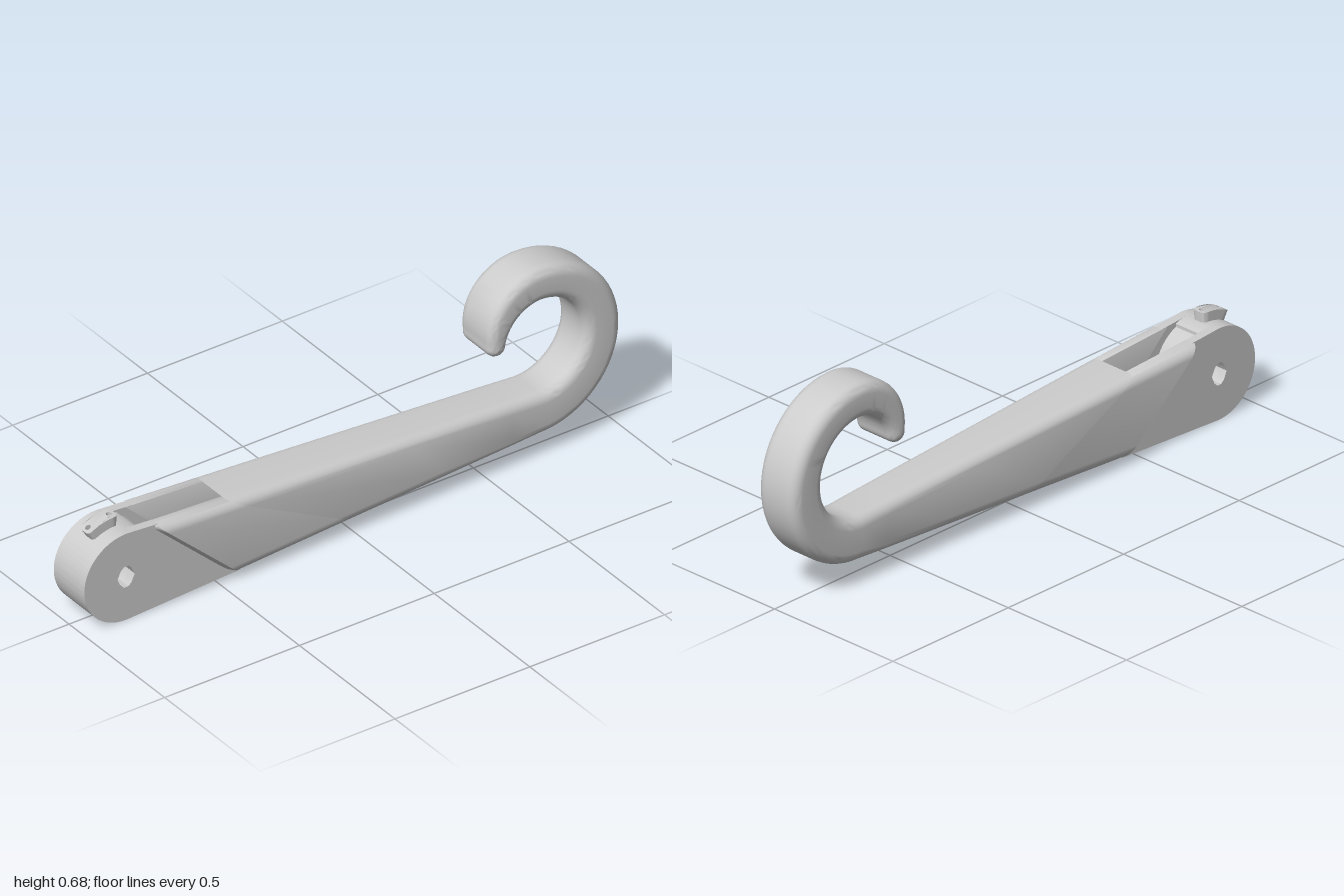
import * as THREE from 'three';
import { toCreasedNormals } from 'three/addons/utils/BufferGeometryUtils.js';

const V = (x, y) => new THREE.Vector2(x, y);
const lerp = THREE.MathUtils.lerp;
const HUB = V(-0.845, 0.155), R = 0.155, SLOT = 0.05;
const material = new THREE.MeshStandardMaterial({ color: 0xcccccc });

function add(group, name, geometry) {
  const mesh = new THREE.Mesh(toCreasedNormals(geometry, 0.6), material);
  mesh.name = name;
  group.add(mesh);
}

// Edge lines and half width of the tapering arm
const topAt = (x) => V(x, lerp(0.303, 0.23, (x + 0.75) / 1.45));
const bottomAt = (x) => V(x, lerp(0.002, 0.08, (x + 0.83) / 1.53));
const widthAt = (x) => lerp(0.106, 0.08, (x + 0.75) / 1.45);

// Rounded cross-section between an outer (lower) and inner (upper) point.
// za/zb give the z of each side at [outer, inner]; ra/rb are the corner radii.
function ring(o, i, za, zb, ra, rb, stretch = 1) {
  const h = o.distanceTo(i), pts = [];
  const corners = [[zb, 1, rb, 1], [za, -1, ra, 1], [za, -1, ra, -1], [zb, 1, rb, -1]];
  corners.forEach(([z, sz, r, su], c) => {
    for (let k = 0; k <= 6; k++) {
      const a = (c + k / 6) * Math.PI / 2;
      const ru = Math.min(r * stretch, h * 0.49);
      const u = ((su > 0 ? h - ru : ru) + ru * Math.sin(a)) / h;
      const p = o.clone().lerp(i, u);
      pts.push([p.x, p.y, lerp(z[0], z[1], u) - sz * r + r * Math.cos(a)]);
    }
  });
  return pts;
}

// Closed skin over a row of equal-length rings, with flat end caps
function loft(rings) {
  const n = rings[0].length, last = (rings.length - 1) * n, index = [];
  for (let s = 0; s < rings.length - 1; s++) {
    for (let j = 0; j < n; j++) {
      const a = s * n + j, b = s * n + (j + 1) % n;
      index.push(a, a + n, b, b, a + n, b + n);
    }
  }
  for (let j = 1; j < n - 1; j++) index.push(0, j, j + 1, last, last + j + 1, last + j);
  const g = new THREE.BufferGeometry();
  g.setAttribute('position', new THREE.Float32BufferAttribute(rings.flat(2), 3));
  g.setIndex(index);
  return g;
}

// Section of the arm, slanted from a bottom x to a top x
function armRing(xb, xt, side = 0, inset = 0) {
  const o = bottomAt(xb), i = topAt(xt);
  const w = [widthAt(xb) - inset, widthAt(xt) - inset], neg = w.map((v) => -v);
  const stretch = o.distanceTo(i) / (i.y - o.y), r = 0.035, sharp = 0.0005;
  if (side > 0) return ring(o, i, [SLOT, SLOT], w, sharp, r, stretch);
  if (side < 0) return ring(o, i, neg, [-SLOT, -SLOT], r, sharp, stretch);
  return ring(o, i, neg, w, r, r, stretch);
}

function armAndHook() {
  const rings = [armRing(0, -0.47), armRing(0.35, 0.2), armRing(0.6, 0.58)];
  const polar = (cx, cy, rx, ry, a) => V(cx + rx * Math.cos(a), cy + ry * Math.sin(a));
  const section = (o, i, w, r) => rings.push(ring(o, i, [-w, -w], [w, w], r, r));
  let o, i;
  // Wide lower sweep, then the tighter curl towards the tip
  for (let k = 0; k <= 32; k++) {
    const a = -Math.PI / 2 + Math.PI * k / 32;
    o = polar(0.7, 0.38, 0.298, 0.3, a);
    i = polar(0.7, 0.395, 0.165, 0.165, a);
    section(o, i, lerp(0.08, 0.082, k / 32), 0.037);
  }
  for (let k = 1; k <= 20; k++) {
    const t = k / 20;
    o = polar(0.7, 0.49, 0.195, 0.19, Math.PI * (0.5 + 0.545 * t));
    i = polar(0.7, 0.43, 0.13, 0.13, Math.PI * (0.5 + 0.455 * t));
    section(o, i, lerp(0.082, 0.085, t), lerp(0.037, 0.03, t));
  }
  // Rounded tip
  const mid = o.clone().lerp(i, 0.5), half = i.clone().sub(o).multiplyScalar(0.5);
  const forward = V(half.y, -half.x);
  for (let k = 1; k <= 6; k++) {
    const a = k / 6 * 1.45, c = Math.cos(a);
    const m = mid.clone().addScaledVector(forward, Math.sin(a));
    section(m.clone().addScaledVector(half, -c), m.clone().addScaledVector(half, c),
      0.085 - 0.03 * (1 - c), 0.03 * c);
  }
  return loft(rings);
}

// Keyed hole through the hub
function keyHole() {
  const p = new THREE.Path();
  p.moveTo(HUB.x + 0.032, HUB.y);
  [[0.02, 0.026], [0.008, 0.037], [-0.008, 0.037], [-0.02, 0.026], [-0.032, 0],
    [-0.02, -0.026], [-0.008, -0.037], [0.008, -0.037], [0.02, -0.026]]
    .forEach(([x, y]) => p.lineTo(HUB.x + x, HUB.y + y));
  p.closePath();
  return p;
}

function slab(shape, z0, z1) {
  shape.holes.push(keyHole());
  return new THREE.ExtrudeGeometry(shape, { depth: z1 - z0, bevelEnabled: false, curveSegments: 40 })
    .translate(0, 0, z0);
}

// Side plate: round hub end running into the arm
function plateShape() {
  const s = new THREE.Shape();
  s.absarc(HUB.x, HUB.y, R, Math.PI / 2 - 0.05, Math.PI * 1.5 + 0.05, false);
  const b = bottomAt(-0.42), t = topAt(-0.73);
  s.lineTo(b.x, b.y);
  s.lineTo(t.x, t.y);
  s.closePath();
  return s;
}

// Middle of the hub: full radius on the outside, slightly smaller inside the slot
function coreShape() {
  const s = new THREE.Shape(), a = Math.acos(0.055 / R), r = 0.145, b = Math.acos(0.055 / r);
  s.absarc(HUB.x, HUB.y, R, a, Math.PI * 2 - a, false);
  s.absarc(HUB.x, HUB.y, r, -b, b, false);
  s.closePath();
  return s;
}

// Small two-hole pad, bent round the top of the hub
function padGeometry() {
  const s = new THREE.Shape(), L = 0.058, W = 0.025, c = 0.015;
  for (let k = 0; k <= 10; k++) s.lineTo(lerp(-L + c, L - c, k / 10), -W);
  s.absarc(L - c, -W + c, c, -Math.PI / 2, 0, false);
  s.absarc(L - c, W - c, c, 0, Math.PI / 2, false);
  for (let k = 0; k <= 10; k++) s.lineTo(lerp(L - c, -L + c, k / 10), W);
  s.absarc(-L + c, W - c, c, Math.PI / 2, Math.PI, false);
  s.absarc(-L + c, -W + c, c, Math.PI, Math.PI * 1.5, false);
  for (const x of [-0.04, 0.04]) s.holes.push(new THREE.Path().absarc(x, 0, 0.009, 0, Math.PI * 2, true));
  const g = new THREE.ExtrudeGeometry(s, { depth: 0.043, bevelEnabled: false, curveSegments: 10 });
  const p = g.attributes.position;
  for (let k = 0; k < p.count; k++) {
    const a = 1.825 - p.getX(k) / 0.187, r = 0.145 + p.getZ(k);
    p.setXYZ(k, HUB.x + r * Math.cos(a), HUB.y + r * Math.sin(a), -p.getY(k));
  }
  return g;
}

export function createModel() {
  const group = new THREE.Group();
  group.name = 'hookedLever';
  add(group, 'armAndHook', armAndHook());
  for (const side of [1, -1]) {
    const label = side > 0 ? 'front' : 'back';
    // Thick cheek beside the slot, chamfered along its slanted edge
    add(group, label + 'Cheek', loft([
      armRing(-0.45, -0.755, side, 0.022),
      armRing(-0.432, -0.737, side),
      armRing(0, -0.47, side),
    ]));
    add(group, label + 'Plate', side > 0 ? slab(plateShape(), SLOT, 0.08) : slab(plateShape(), -0.08, -SLOT));
  }
  add(group, 'hubCore', slab(coreShape(), -SLOT, SLOT));
  add(group, 'hubPad', padGeometry());
  return group;
}
